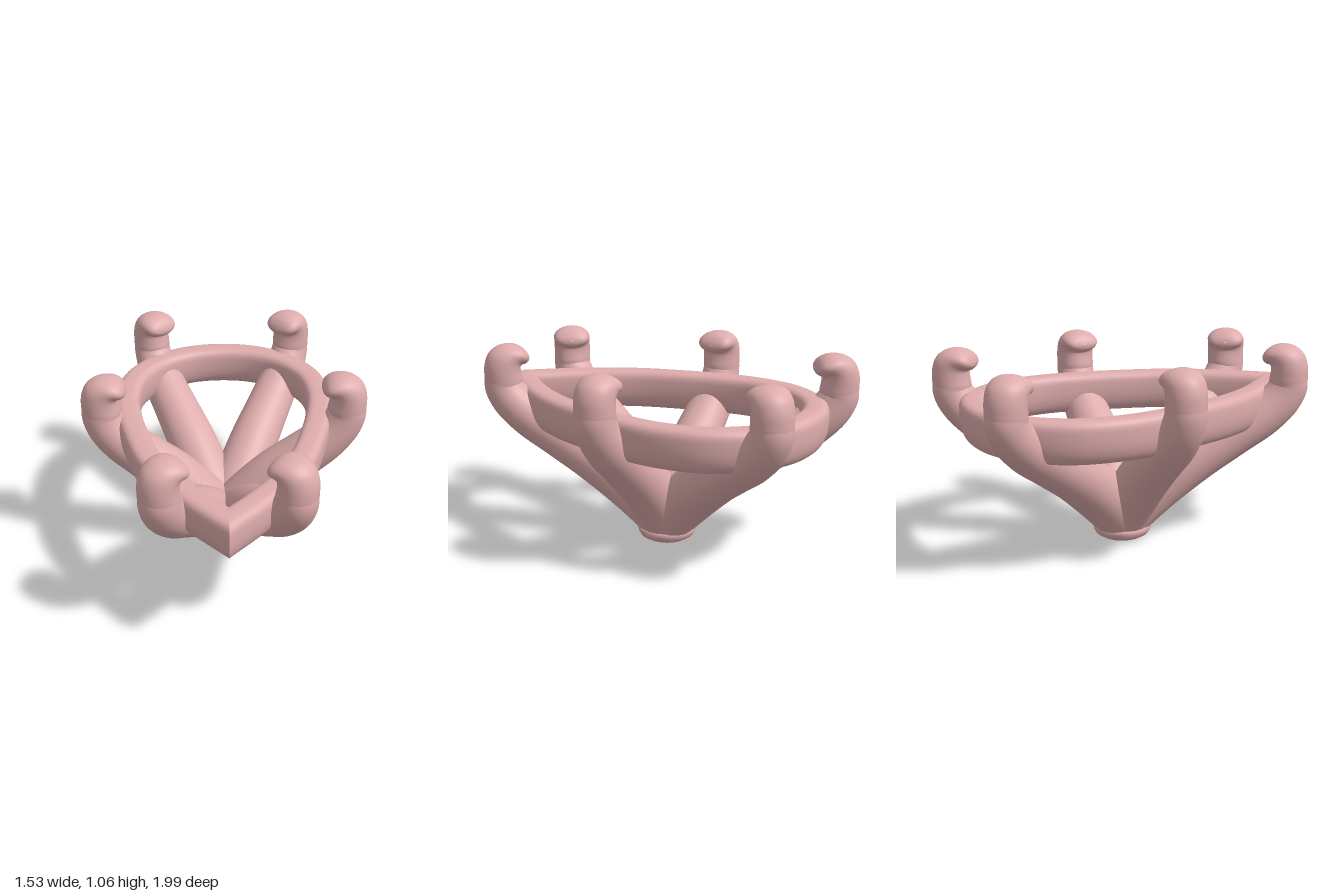
import * as THREE from 'three';

const V = (x, y, z) => new THREE.Vector3(x, y, z);
const BASE_Z = -0.08;
const circle = ang => [Math.cos(ang), Math.sin(ang)];

// Skin of cross-sections; each frame has a centre p and half-axes a, b (a x b points along the sweep)
function sweep(frames, sides, section) {
  const pos = [], idx = [];
  for (const { p, a, b } of frames) {
    for (let j = 0; j < sides; j++) {
      const [u, v] = section((j / sides) * Math.PI * 2);
      const q = p.clone().addScaledVector(a, u).addScaledVector(b, v);
      pos.push(q.x, q.y, q.z);
    }
  }
  for (let i = 0; i < frames.length - 1; i++) {
    for (let j = 0; j < sides; j++) {
      const k = (j + 1) % sides, r = i * sides, s = r + sides;
      idx.push(r + j, r + k, s + j, r + k, s + k, s + j);
    }
  }
  const geo = new THREE.BufferGeometry();
  geo.setAttribute('position', new THREE.Float32BufferAttribute(pos, 3));
  geo.setIndex(idx);
  geo.computeVertexNormals();
  return geo;
}

// Arm: share of the way from base to head, height, radius
const ARM = [
  [0, 0.07, 0.152], [0.01, 0.12, 0.15], [0.15, 0.245, 0.146], [0.42, 0.435, 0.14], [0.66, 0.57, 0.128],
  [0.84, 0.67, 0.12], [0.955, 0.76, 0.111], [1, 0.83, 0.105], [1, 0.87, 0.104],
];
// Hooked head: back of the hook (inward, y), underside of the hook (inward, y), half-width
const HEAD = [
  [-0.105, 0.87, 0.103, 0.87, 0.105], [-0.102, 0.95, 0.097, 0.9, 0.105], [-0.077, 1.015, 0.093, 0.925, 0.105],
  [-0.03, 1.052, 0.093, 0.938, 0.105], [0.02, 1.064, 0.098, 0.945, 0.105], [0.07, 1.06, 0.112, 0.947, 0.1],
  [0.107, 1.042, 0.125, 0.955, 0.086], [0.128, 1.017, 0.136, 0.97, 0.058], [0.138, 0.994, 0.139, 0.99, 0.003],
];

// Claw rising from the base to (hx, hz), then hooking inward against the outward direction (dx, dz)
function prongGeometry(hx, hz, dx, dz) {
  const out = V(dx, 0, dz).normalize();
  const arm = V(hx, 0, hz - BASE_Z).normalize();
  const path = new THREE.CatmullRomCurve3(ARM.map(([f, y]) => V(hx * f, y, BASE_Z + (hz - BASE_Z) * f)));
  const radius = new THREE.CatmullRomCurve3(ARM.map(([, , r], i) => V(r, i, 0)));
  const frames = [], armSteps = 56, headSteps = 40;
  for (let i = 0; i < armSteps; i++) {
    const t = i / armSteps, tan = path.getTangent(t), r = radius.getPoint(t).x;
    const dir = arm.clone().lerp(out, THREE.MathUtils.smoothstep(t, 0.4, 0.9));
    const flat = V(dir.z, 0, -dir.x);
    const side = flat.clone().addScaledVector(tan, -tan.dot(flat)).normalize();
    frames.push({
      p: path.getPoint(t),
      a: side.clone().multiplyScalar(r),
      b: tan.clone().cross(side).multiplyScalar(r),
    });
  }
  const place = (inward, y) => V(hx, y, hz).addScaledVector(out, -inward);
  const back = new THREE.CatmullRomCurve3(HEAD.map(([u, y]) => place(u, y)));
  const under = new THREE.CatmullRomCurve3(HEAD.map(([, , u, y]) => place(u, y)));
  const width = new THREE.CatmullRomCurve3(HEAD.map(([, , , , w], i) => V(w, i, 0)));
  for (let i = 0; i <= headSteps; i++) {
    const t = i / headSteps, o = back.getPoint(t), u = under.getPoint(t);
    frames.push({
      p: o.clone().add(u).multiplyScalar(0.5),
      a: V(out.z, 0, -out.x).multiplyScalar(width.getPoint(t).x),
      b: u.clone().sub(o).multiplyScalar(0.5),
    });
  }
  return sweep(frames, 36, circle);
}

// Pear-shaped band with a mitred point at the front
function ringGeometry() {
  const half = [
    [0, 0.89], [0.14, 0.735], [0.27, 0.565], [0.39, 0.34], [0.467, 0.1], [0.517, -0.12],
    [0.536, -0.33], [0.492, -0.57], [0.36, -0.755], [0.19, -0.855],
  ];
  const mirrored = half.map(([x, z]) => [-x, z]).reverse();
  const path = new THREE.CatmullRomCurve3(
    [...half, [0, -0.885], ...mirrored].map(([x, z]) => V(x, 0.755, z)));
  const frames = [], steps = 160, w = 0.072;
  for (let i = 0; i <= steps; i++) {
    const t = i / steps, tan = path.getTangent(t);
    const atPoint = i === 0 || i === steps;
    const a = atPoint ? V(0, 0, -w / Math.abs(tan.x)) : V(tan.z, 0, -tan.x).multiplyScalar(w);
    frames.push({ p: path.getPoint(t), a, b: V(0, 1, 0) });
  }
  // squarish above, rounded below
  const section = ang => {
    const [c, s] = circle(ang);
    const e = s > 0 ? 0.6 : 0.9;
    const bend = v => Math.sign(v) * Math.pow(Math.abs(v), e);
    return [bend(c), bend(s) * (s > 0 ? 0.08 : 0.145)];
  };
  return sweep(frames, 40, section);
}

export function createModel() {
  const group = new THREE.Group();
  const material = new THREE.MeshStandardMaterial({ color: 0xdeacac });
  const add = (name, geometry) => {
    const mesh = new THREE.Mesh(geometry, material);
    mesh.name = name;
    group.add(mesh);
    return mesh;
  };

  // Round foot
  const profile = [[0, 0], [0.07, 0.003], [0.115, 0.012], [0.145, 0.03], [0.158, 0.052], [0.158, 0.07], [0.15, 0.078], [0, 0.08]];
  add('base', new THREE.LatheGeometry(profile.map(([x, y]) => new THREE.Vector2(x, y)), 48))
    .position.z = BASE_Z;

  add('pearRing', ringGeometry());

  // Three mirrored pairs of claws
  const prongs = [
    ['front', 0.325, 0.775, 0.83, 0.56],
    ['middle', 0.66, -0.06, 1, 0],
    ['back', 0.417, -0.89, 0.64, -0.77],
  ];
  for (const [name, x, z, dx, dz] of prongs) {
    for (const side of [1, -1]) {
      add(`${name}Prong${side > 0 ? 'Left' : 'Right'}`, prongGeometry(x * side, z, dx * side, dz));
    }
  }
  return group;
}
